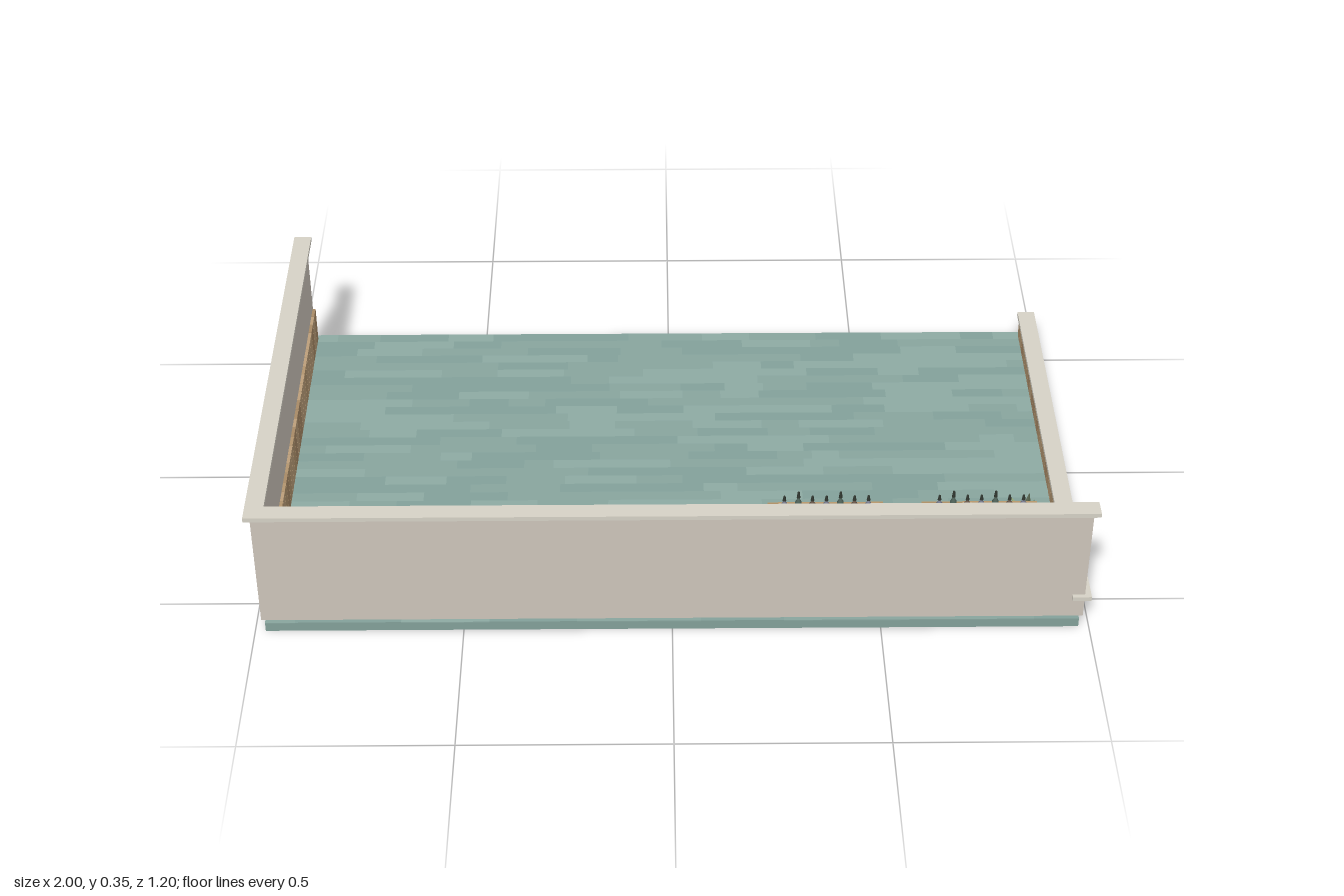
import * as THREE from 'three';
import { mergeGeometries } from 'three/addons/utils/BufferGeometryUtils.js';

const mat = (color, extra = {}) => new THREE.MeshStandardMaterial({ color, ...extra });
const wallMat = mat(0xcdc5ba), capMat = mat(0xd6d2c6), seamMat = mat(0x6f6a64);
const woodMats = [0xb3956f, 0xa88a66, 0xbc9f7a].map((c) => mat(c));
const floorMats = [0x88a59e, 0x83a19a, 0x8daaa3].map((c) => mat(c));
const shelfMat = mat(0xb8976a);

// small seeded generator
let seed = 7;
const rnd = () => (seed = (seed * 16807) % 2147483647) / 2147483647;

// box geometry from its limits
function slab(x0, x1, y0, y1, z0, z1) {
  const g = new THREE.BoxGeometry(x1 - x0, y1 - y0, z1 - z0);
  return g.translate((x0 + x1) / 2, (y0 + y1) / 2, (z0 + z1) / 2);
}

function add(parent, name, geometry, material) {
  const m = new THREE.Mesh(geometry, material);
  m.name = name;
  parent.add(m);
  return m;
}

// one merged mesh for each shade
function addShaded(parent, name, lists, mats) {
  lists.forEach((list, i) => {
    if (list.length) add(parent, name + (i + 1), mergeGeometries(list), mats[i]);
  });
}

// base slab with staggered floor boards
function buildFloor() {
  const g = new THREE.Group();
  g.name = 'floor';
  add(g, 'floorSlab', slab(-0.975, 0.975, 0, 0.022, -0.6, 0.6), floorMats[1]);
  const lists = [[], [], []], rows = 36, depth = 1.2 / rows;
  for (let r = 0; r < rows; r++) {
    let x = -0.975;
    const z = -0.6 + r * depth;
    while (x < 0.975) {
      let end = x + 0.07 + rnd() * 0.16;
      if (end > 0.93) end = 0.975;
      lists[Math.floor(rnd() * 3)].push(slab(x, end, 0.022, 0.025, z, z + depth));
      x = end;
    }
  }
  addShaded(g, 'floorBoards', lists, floorMats);
  return g;
}

// three walls with overhanging caps
function buildWalls() {
  const g = new THREE.Group();
  g.name = 'walls';
  add(g, 'frontWall', slab(-0.985, 0.985, 0.025, 0.335, 0.573, 0.59), wallMat);
  add(g, 'rightWall', slab(-0.985, -0.967, 0.025, 0.335, -0.59, 0.59), wallMat);
  add(g, 'lowLeftWall', slab(0.967, 0.985, 0.025, 0.08, -0.59, 0.59), wallMat);
  add(g, 'frontCap', slab(-1, 1, 0.334, 0.345, 0.555, 0.6), capMat);
  add(g, 'rightCap', slab(-1, -0.955, 0.334, 0.345, -0.6, 0.555), capMat);
  add(g, 'lowLeftCap', slab(0.955, 1, 0.08, 0.091, -0.6, 0.6), capMat);
  // seams between the wall panels
  const seams = [];
  for (let i = 0; i <= 12; i++) {
    const x = -0.965 + (i * 1.93) / 12;
    seams.push(slab(x - 0.002, x + 0.002, 0.13, 0.334, 0.57, 0.5735));
  }
  add(g, 'panelSeams', mergeGeometries(seams), seamMat);
  return g;
}

// upright wood boards along the foot of each wall
function buildWainscot() {
  const g = new THREE.Group();
  g.name = 'wainscot';
  const lists = [[], [], []], gap = 0.001;
  const row = (from, to, count, make) => {
    const w = (to - from) / count;
    for (let i = 0; i < count; i++) {
      const a = from + i * w + gap, b = from + (i + 1) * w - gap;
      lists[Math.floor(rnd() * 3)].push(make(a, b));
    }
  };
  row(-0.965, 0.965, 50, (a, b) => slab(a, b, 0.025, 0.125, 0.564, 0.5735));
  row(-0.585, 0.564, 30, (a, b) => slab(-0.9675, -0.959, 0.025, 0.124, a, b));
  row(-0.585, 0.564, 30, (a, b) => slab(0.959, 0.9675, 0.025, 0.08, a, b));
  addShaded(g, 'woodBoards', lists, woodMats);
  add(g, 'frontRail', slab(-0.965, 0.975, 0.125, 0.135, 0.556, 0.574), capMat);
  return g;
}

// shelf with brackets and a row of seven bottles
function buildShelf(x) {
  const g = new THREE.Group();
  g.name = 'bottleShelf';
  add(g, 'shelfBoard', slab(x - 0.137, x + 0.137, 0.281, 0.294, 0.492, 0.553), shelfMat);
  add(g, 'shelfLip', slab(x - 0.137, x + 0.137, 0.284, 0.297, 0.489, 0.493), shelfMat);
  for (const s of [-1, 1]) {
    const bx = x + s * 0.1;
    add(g, 'bracket', slab(bx - 0.008, bx + 0.008, 0.259, 0.281, 0.51, 0.549), shelfMat);
  }
  const glass = [0x7d8093, 0x52665c, 0x6d5a4c].map((c) => mat(c));
  const stopper = mat(0x30362f);
  for (let i = 0; i < 7; i++) {
    const k = i % 3 === 1 ? 1 : 0.8;
    const profile = [[0, 0], [0.008, 0], [0.008, 0.03], [0.0035, 0.039], [0.0035, 0.05], [0, 0.05]]
      .map(([r, y]) => new THREE.Vector2(r, y * k));
    const bottle = new THREE.Group();
    bottle.name = 'bottle';
    add(bottle, 'bottleBody', new THREE.LatheGeometry(profile, 10), glass[i % 3]);
    add(bottle, 'bottleTop', new THREE.CylinderGeometry(0.0025, 0.0045, 0.016 * k, 8), stopper)
      .position.y = 0.052 * k;
    bottle.position.set(x - 0.099 + i * 0.033, 0.294, 0.523);
    g.add(bottle);
  }
  return g;
}

// pointed leaf, folded along its middle and bending outward
function leafGeometry(length, width) {
  const sections = [[0, 0.08, 0], [0.35, 0.55, 0.1], [0.65, 1, 0.28], [0.85, 0.6, 0.45], [1, 0, 0.65]];
  const pos = [], index = [];
  sections.forEach(([t, w, out], i) => {
    const y = t * length, x = out * length, half = (w * width) / 2;
    pos.push(x - half * 0.3, y + half * 0.3, -half, x, y, 0, x - half * 0.3, y + half * 0.3, half);
    if (!i) return;
    for (let j = 0; j < 2; j++) {
      const a = (i - 1) * 3 + j, b = a + 3;
      index.push(a, b, a + 1, a + 1, b, b + 1);
    }
  });
  const g = new THREE.BufferGeometry();
  g.setAttribute('position', new THREE.Float32BufferAttribute(pos, 3));
  g.setIndex(index);
  g.computeVertexNormals();
  return g;
}

// potted plant in the corner
function buildPlant() {
  const g = new THREE.Group();
  g.name = 'pottedPlant';
  const pot = [[0, 0], [0.024, 0], [0.033, 0.05], [0.035, 0.05], [0.035, 0.06], [0.03, 0.06], [0.029, 0.052], [0, 0.052]]
    .map(([r, y]) => new THREE.Vector2(r, y));
  add(g, 'pot', new THREE.LatheGeometry(pot, 16), mat(0xc4c2bd, { flatShading: true }));
  add(g, 'soil', new THREE.CylinderGeometry(0.0295, 0.0295, 0.003, 16), mat(0x4a3b2f)).position.y = 0.053;
  const greens = [0x5e7a58, 0x93a578, 0x47553f]
    .map((c) => mat(c, { side: THREE.DoubleSide, flatShading: true }));
  for (let i = 0; i < 12; i++) {
    const inner = i % 2;
    const leaf = add(g, 'leaf', leafGeometry(inner ? 0.135 : 0.115, 0.036), greens[i % 3]);
    leaf.position.y = 0.054;
    leaf.rotation.set(0, i * 2.4, inner ? 0.3 : 0.06);
    leaf.rotation.order = 'YXZ';
    leaf.scale.setScalar(0.9 + rnd() * 0.2);
  }
  g.position.set(0.85, 0.025, 0.43);
  return g;
}

export function createModel() {
  seed = 7;
  const model = new THREE.Group();
  model.name = 'roomSection';
  model.add(buildFloor(), buildWalls(), buildWainscot());
  for (const x of [0.363, 0.728]) model.add(buildShelf(x));
  model.add(buildPlant());
  return model;
}
